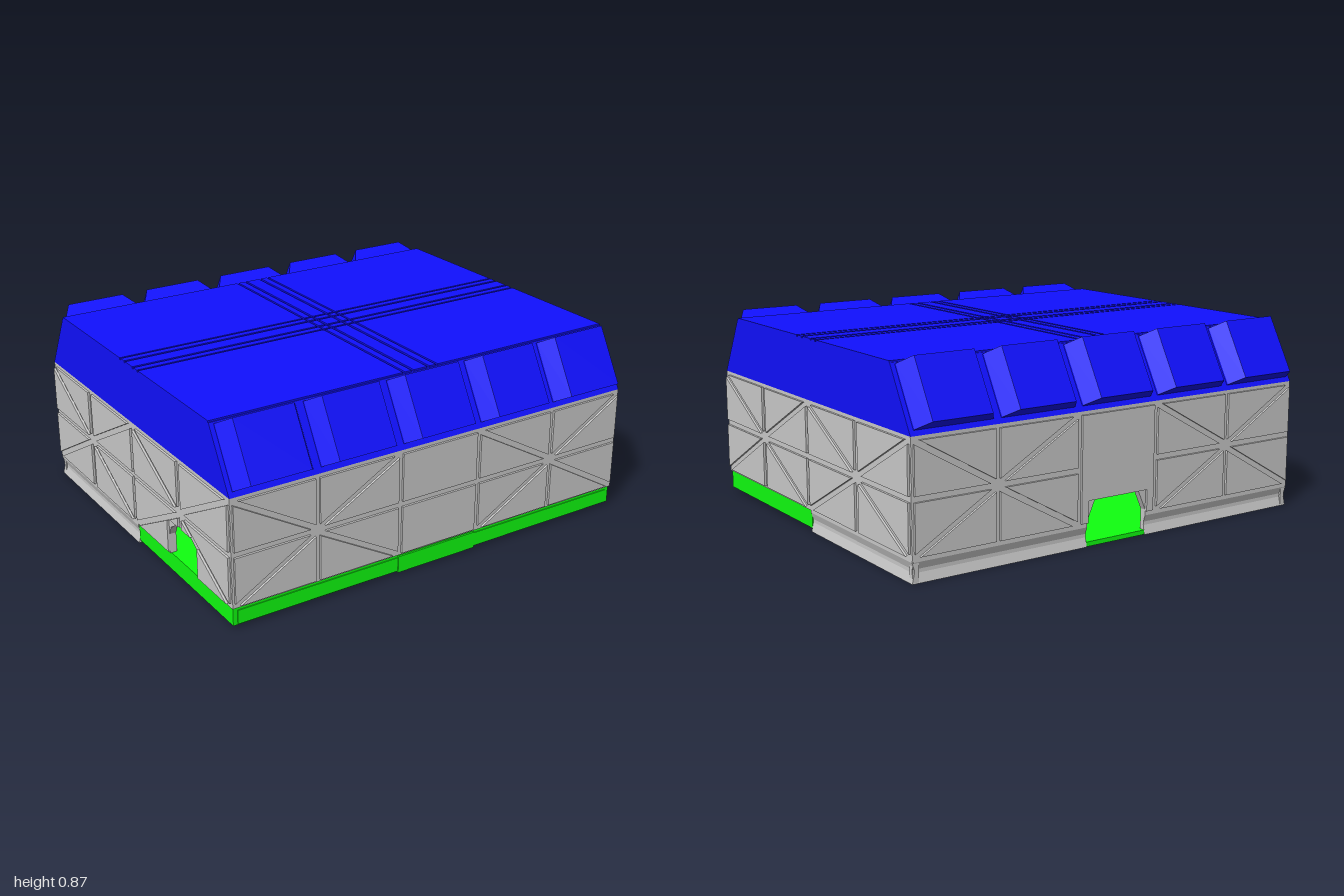
import * as THREE from 'three';

const mat = (color) => new THREE.MeshStandardMaterial({ color, flatShading: true });
const grey = mat(0xcccccc), blue = mat(0x1010ff), green = mat(0x10ff10);

function add(parent, name, geo, material, x = 0, y = 0, z = 0) {
  const m = new THREE.Mesh(geo, material);
  m.name = name;
  m.position.set(x, y, z);
  parent.add(m);
  return m;
}

// Box given by its minimum and maximum corners
function block(parent, name, material, a, b) {
  const geo = new THREE.BoxGeometry(b[0] - a[0], b[1] - a[1], b[2] - a[2]);
  return add(parent, name, geo, material, (a[0] + b[0]) / 2, (a[1] + b[1]) / 2, (a[2] + b[2]) / 2);
}

const polygon = (pts) => new THREE.Shape(pts.map(([x, y]) => new THREE.Vector2(x, y)));
const extrude = (shape, depth) => new THREE.ExtrudeGeometry(shape, { depth, bevelEnabled: false });

// Keep the part of a convex polygon where nx * x + ny * y >= d
function clip(pts, nx, ny, d) {
  const out = [];
  pts.forEach((p, i) => {
    const q = pts[(i + 1) % pts.length];
    const a = nx * p[0] + ny * p[1] - d, b = nx * q[0] + ny * q[1] - d;
    if (a >= 0) out.push(p);
    if ((a > 0 && b < 0) || (a < 0 && b > 0)) {
      const t = a / (a - b);
      out.push([p[0] + (q[0] - p[0]) * t, p[1] + (q[1] - p[1]) * t]);
    }
  });
  return out;
}

// Split a rectangle along one diagonal, leaving a groove between the halves
function halves(rect, rising) {
  const [p, , q] = rect;
  const w = q[0] - p[0], h = (q[1] - p[1]) * (rising ? 1 : -1);
  const l = Math.hypot(w, h), nx = -h / l, ny = w / l;
  const d = nx * p[0] + ny * (rising ? p[1] : q[1]);
  return [clip(rect, nx, ny, d + 0.012), clip(rect, -nx, -ny, -d + 0.012)];
}

// Parts of a panel that remain around a doorway
function aroundDoor(pts, door) {
  const { x0, x1, top } = door;
  const middle = clip(clip(pts, 1, 0, x0), -1, 0, -x1);
  return [clip(pts, -1, 0, -x0), clip(pts, 1, 0, x1), clip(middle, 0, 1, top)];
}

const rows = [[0.105, 0.32], [0.345, 0.56]];

// Wall facing +z: a flat core with raised panels; grooves form the framing
function wall(name, turn, halfWidth, dist, columns, star, door, plainTall) {
  const g = new THREE.Group();
  g.name = name;
  g.rotation.y = turn;
  const outline = [[-halfWidth, 0.095]];
  if (door) outline.push(...door.outline);
  outline.push([halfWidth, 0.095], [halfWidth, 0.575], [-halfWidth, 0.575]);
  add(g, 'wallCore', extrude(polygon(outline), 0.03), grey, 0, 0, dist - 0.03);

  for (const [a, b] of columns) {
    const cx = (a + b) / 2;
    const plain = Math.abs(cx) < 0.1 && b - a > 0.3;
    const spans = plain && plainTall ? [[0.105, 0.56]] : rows;
    for (const [c, d] of spans) {
      const rect = [[a, c], [b, c], [b, d], [a, d]];
      const upper = c > 0.3, outer = cx > Math.sign(cx) * star;
      let pieces = plain ? [rect] : halves(rect, upper === outer);
      if (door) pieces = pieces.flatMap((p) => aroundDoor(p, door));
      for (const p of pieces) {
        if (p.length > 2) add(g, 'wallPanel', extrude(polygon(p), 0.01), grey, 0, 0, dist);
      }
    }
  }
  return g;
}

// Length of concave plinth running along x and facing +z
function plinth(parent, x0, x1, dist, turn) {
  const g = new THREE.Group();
  g.name = 'plinth';
  g.rotation.y = turn;
  const profile = polygon([[-dist, 0], [-dist + 0.03, 0], [-dist + 0.03, 0.095],
    [-dist, 0.095], [-dist, 0.085], [-dist + 0.01, 0.055], [-dist + 0.01, 0.04]]);
  add(g, 'plinthRun', extrude(profile, x1 - x0), grey, x0, 0, 0).rotation.y = Math.PI / 2;
  parent.add(g);
}

export function createModel() {
  const model = new THREE.Group();
  model.name = 'building';

  // Walls
  const wide = [[-0.98, -0.61], [-0.59, -0.21], [-0.19, 0.19], [0.21, 0.59], [0.61, 0.98]];
  const deep = [[-0.83, -0.44], [-0.41, -0.01], [0.01, 0.41], [0.44, 0.83]];
  const backDoor = {
    x0: -0.155, x1: 0.155, top: 0.2,
    outline: [[-0.155, 0.095], [-0.155, 0.11], [-0.115, 0.2], [0.115, 0.2], [0.155, 0.11], [0.155, 0.095]],
  };
  const arch = { x0: 0.31, x1: 0.57, top: 0.265, outline: [[0.31, 0.095]] };
  for (let i = 0; i <= 6; i++) {
    const t = Math.PI * (1 - i / 6);
    arch.outline.push([0.44 + 0.13 * Math.cos(t), 0.185 + 0.08 * Math.sin(t)]);
  }
  arch.outline.push([0.57, 0.095]);
  model.add(
    wall('frontWall', 0, 0.989, 0.84, wide, 0.6),
    wall('backWall', Math.PI, 0.989, 0.84, wide, 0.6, backDoor, true),
    wall('leftWall', Math.PI / 2, 0.839, 0.99, deep, 0.425),
    wall('rightWall', -Math.PI / 2, 0.839, 0.99, deep, 0.425, arch),
  );

  // Plinth around the back half, open at the back door
  plinth(model, -0.985, -0.155, 0.84, Math.PI);
  plinth(model, 0.155, 0.985, 0.84, Math.PI);
  plinth(model, 0, 0.839, 0.99, Math.PI / 2);
  plinth(model, -0.839, 0, 0.99, -Math.PI / 2);

  // Floor and front base
  block(model, 'backFloor', green, [-0.98, 0, -0.835], [0.98, 0.02, 0.004]);
  block(model, 'frontBase', green, [-0.985, 0.014, 0], [0.985, 0.096, 0.832]);
  block(model, 'basePanel', green, [-0.965, 0.018, 0.82], [0.965, 0.08, 0.836]);
  block(model, 'doorSill', green, [-0.2, 0.011, 0.82], [0.2, 0.086, 0.84]);

  // Roof body
  const roof = new THREE.Group();
  roof.name = 'roof';
  model.add(roof);
  const section = polygon([[-0.84, 0.575], [0.84, 0.575], [0.694, 0.833], [-0.694, 0.833]]);
  add(roof, 'roofBody', extrude(section, 1.98), blue, -0.99, 0, 0).rotation.y = Math.PI / 2;

  // Raised roof plates separated by crossing grooves
  const strips = (end) => [[-end, -0.088], [-0.078, -0.046], [-0.034, 0.034], [0.046, 0.078], [0.088, end]];
  for (const [x0, x1] of strips(0.99)) {
    for (const [z0, z1] of strips(0.69)) {
      block(roof, 'roofPlate', blue, [x0, 0.825, z0], [x1, 0.84, z1]);
    }
  }

  // Tapered blocks along the front and back slopes
  const taper = polygon([[-0.178, -0.01], [0.178, -0.01], [0.178, 0], [0.135, 0.073], [-0.135, 0.073], [-0.178, 0]]);
  const blockGeo = extrude(taper, 0.266);
  for (const turn of [0, Math.PI]) {
    const row = new THREE.Group();
    row.name = turn ? 'backEaveBlocks' : 'frontEaveBlocks';
    row.rotation.y = turn;
    for (let i = -2; i <= 2; i++) {
      add(row, 'eaveBlock', blockGeo, blue, i * 0.396, 0.83, 0.704).rotation.x = 1.054;
    }
    roof.add(row);
  }
  return model;
}
